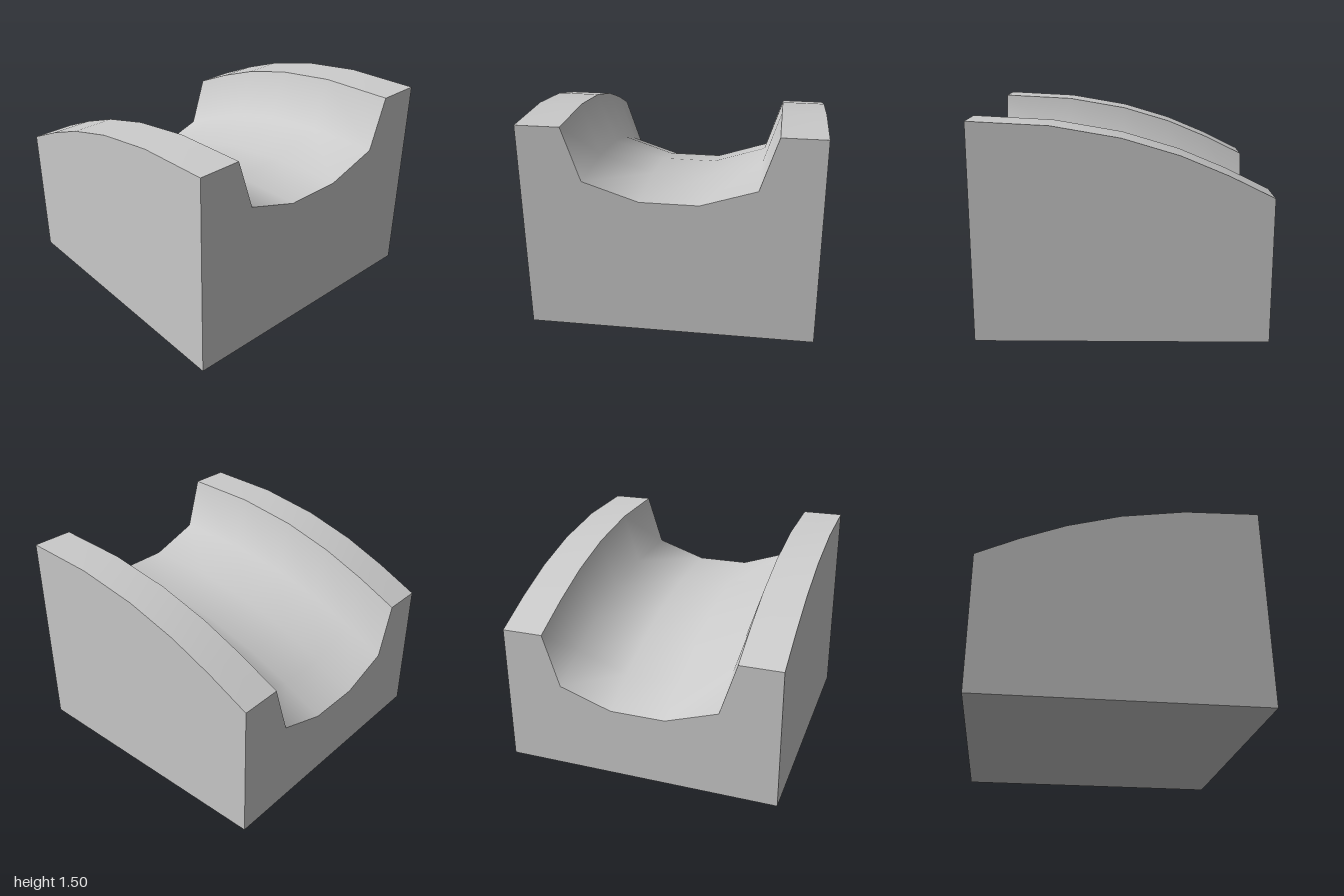
import * as THREE from 'three';

// Crest line of the side rails, back to front: [z, y]
const CREST = [[-1, 1], [-0.7, 1.147], [-0.38, 1.28], [0, 1.393], [0.46, 1.472], [1, 1.5]];
// Channel cross-section, left to right in x: [x, drop below the crest]
const CHANNEL = [[-0.7, 0], [-0.58, -0.373], [-0.2, -0.5], [0.2, -0.5], [0.58, -0.373], [0.7, 0]];

const material = new THREE.MeshStandardMaterial({ color: 0xcccccc });

function addMesh(group, name, geometry) {
  const mesh = new THREE.Mesh(geometry, material);
  mesh.name = name;
  group.add(mesh);
  return mesh;
}

// Sweep an open cross-section along the crest as one smooth, upward-facing strip
function sweep(section) {
  const positions = [], index = [], n = section.length;
  CREST.forEach(([z, y], j) => {
    section.forEach(([x, dy], i) => {
      positions.push(x, y + dy, z);
      if (j === CREST.length - 1 || i === n - 1) return;
      const a = j * n + i, b = a + n;
      index.push(a, b, a + 1, b, b + 1, a + 1);
    });
  });
  const geometry = new THREE.BufferGeometry();
  geometry.setAttribute('position', new THREE.Float32BufferAttribute(positions, 3));
  geometry.setIndex(index);
  geometry.computeVertexNormals();
  return geometry;
}

// Flat polygon in the xy plane, facing +z
function polygon(points) {
  return new THREE.ShapeGeometry(new THREE.Shape(points.map(([x, y]) => new THREE.Vector2(x, y))));
}

export function createModel() {
  const group = new THREE.Group();
  group.name = 'channelledBlock';

  // Curved top: central channel and a flat-topped rail on each side
  addMesh(group, 'channel', sweep(CHANNEL));
  addMesh(group, 'rightRailTop', sweep([[-1, 0], [-0.7, 0]]));
  addMesh(group, 'leftRailTop', sweep([[0.7, 0], [1, 0]]));

  // End faces with the channel outline cut out of the upper edge
  const endFace = (h) => polygon([
    [1, 0], [1, h], ...CHANNEL.map(([x, dy]) => [x, h + dy]).reverse(), [-1, h], [-1, 0],
  ]);
  addMesh(group, 'frontFace', endFace(1.5)).position.z = 1;
  const back = addMesh(group, 'backFace', endFace(1));
  back.position.z = -1;
  back.rotation.y = Math.PI;

  // Side faces following the crest
  for (const [name, s] of [['leftSide', 1], ['rightSide', -1]]) {
    const top = CREST.map(([z, y]) => [-s * z, y]);
    const side = addMesh(group, name, polygon([[s, 0], ...top, [-s, 0]]));
    side.position.x = s;
    side.rotation.y = s * Math.PI / 2;
  }

  // Underside
  addMesh(group, 'base', new THREE.PlaneGeometry(2, 2)).rotation.x = Math.PI / 2;
  return group;
}
